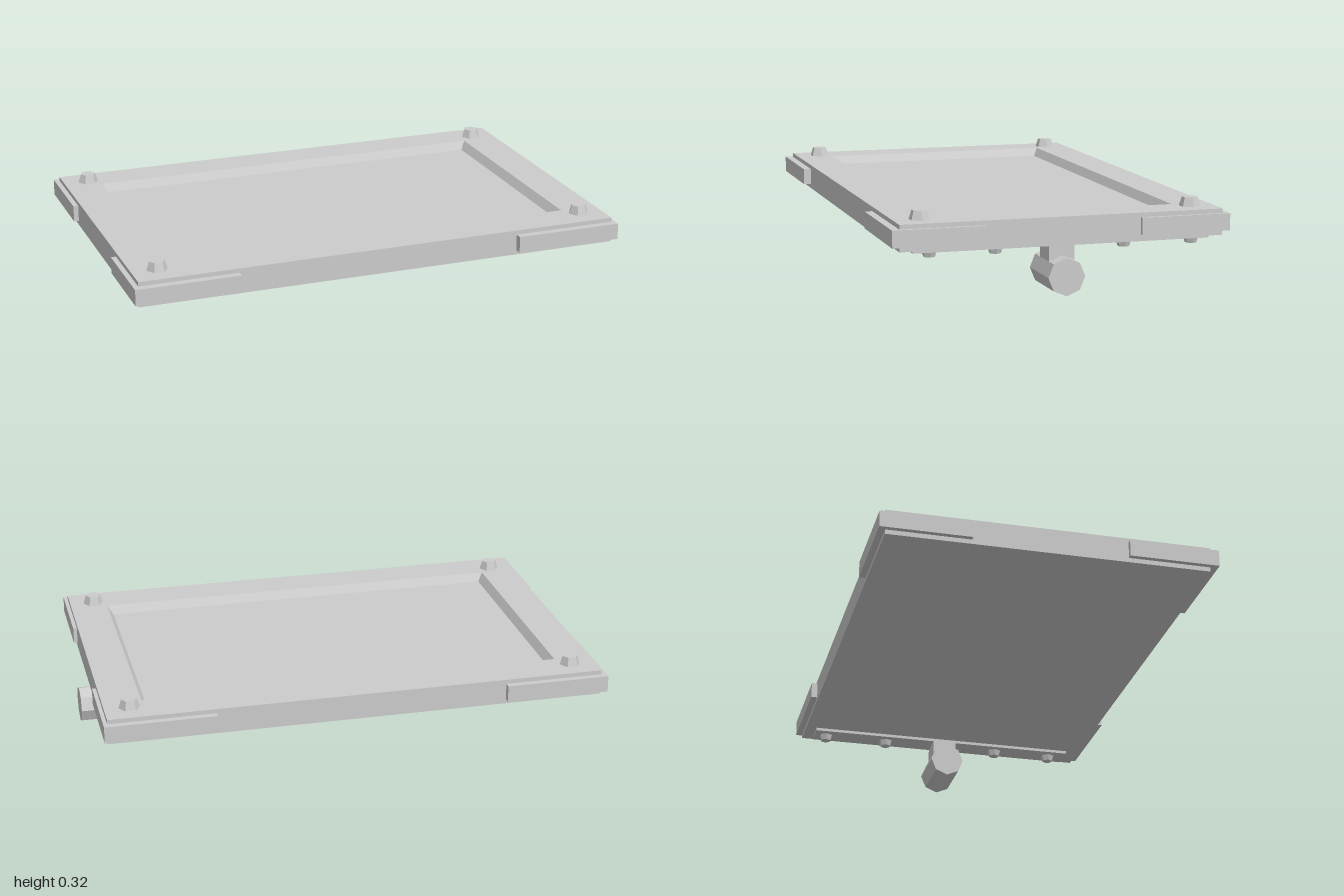
import * as THREE from 'three';

const material = new THREE.MeshStandardMaterial({ color: 0xcccccc, flatShading: true });

function add(parent, name, geometry, x = 0, y = 0, z = 0) {
  const mesh = new THREE.Mesh(geometry, material);
  mesh.name = name;
  mesh.position.set(x, y, z);
  parent.add(mesh);
  return mesh;
}

// Box given by its limits on each axis
function addBox(parent, name, [x0, x1], [y0, y1], [z0, z1]) {
  return add(parent, name, new THREE.BoxGeometry(x1 - x0, y1 - y0, z1 - z0),
    (x0 + x1) / 2, (y0 + y1) / 2, (z0 + z1) / 2);
}

// Closed solid through a sequence of rectangles [x0, x1, z0, z1, y]
function rectLoft(rects) {
  const pos = [], idx = [];
  for (const [x0, x1, z0, z1, y] of rects) {
    pos.push(x0, y, z1, x1, y, z1, x1, y, z0, x0, y, z0);
  }
  for (let r = 0; r < rects.length - 1; r++) {
    for (let i = 0; i < 4; i++) {
      const a = r * 4 + i, b = r * 4 + (i + 1) % 4;
      idx.push(a, b, b + 4, a, b + 4, a + 4);
    }
  }
  const t = (rects.length - 1) * 4;
  idx.push(0, 2, 1, 0, 3, 2, t, t + 1, t + 2, t, t + 2, t + 3);
  const g = new THREE.BufferGeometry();
  g.setAttribute('position', new THREE.Float32BufferAttribute(pos, 3));
  g.setIndex(idx);
  const flat = g.toNonIndexed();
  flat.computeVertexNormals();
  return flat;
}

// Tapered hexagonal bolt head with points along x
function bolt(rTop, rBottom, height) {
  return new THREE.CylinderGeometry(rTop, rBottom, height, 6).rotateY(Math.PI / 6);
}

export function createModel() {
  const model = new THREE.Group();
  model.name = 'hatch';

  // Slab with a sloped-edge recess in its top
  add(model, 'panel', rectLoft([
    [-0.98, 0.965, -0.625, 0.62, 0.19],
    [-0.98, 0.965, -0.625, 0.62, 0.29],
    [-0.835, 0.815, -0.48, 0.473, 0.29],
    [-0.813, 0.793, -0.46, 0.451, 0.257],
  ]));

  // L-shaped corner guards
  for (const [outer, end, inner] of [[-1, -0.59, -0.96], [0.98, 0.55, 0.945]]) {
    for (const s of [-1, 1]) {
      const guard = new THREE.Group();
      guard.name = 'cornerGuard';
      model.add(guard);
      const c = s * 0.65;
      const shape = new THREE.Shape([
        [outer, c], [end, c], [end, s * 0.6], [inner, s * 0.6], [inner, s * 0.3], [outer, s * 0.3],
      ].map(([x, z]) => new THREE.Vector2(x, -z)));
      const g = new THREE.ExtrudeGeometry(shape, { depth: 0.065, bevelEnabled: false });
      g.rotateX(-Math.PI / 2);
      add(guard, 'guardBracket', g, 0, 0.208, 0);
    }
  }

  // Corner bolts on top
  for (const x of [-0.88, 0.868]) {
    for (const z of [-0.532, 0.52]) {
      add(model, 'topBolt', bolt(0.03, 0.041, 0.035), x, 0.3075, z);
    }
  }

  // Mounting strip with bolts underneath
  addBox(model, 'mountingStrip', [0.835, 0.94], [0.178, 0.195], [-0.58, 0.58 - 0.015]);
  for (const z of [-0.53, -0.26, 0.24, 0.49]) {
    add(model, 'stripBolt', bolt(0.03, 0.022, 0.025), 0.887, 0.1665, z);
  }

  // Handle: square neck and octagonal grip
  addBox(model, 'handleNeck', [0.835, 0.94], [0.08, 0.18], [-0.05, 0.05]);
  const grip = new THREE.CylinderGeometry(0.071, 0.071, 0.222, 8).rotateZ(Math.PI / 2);
  add(model, 'handleGrip', grip, 0.889, 0.071, 0);

  return model;
}
